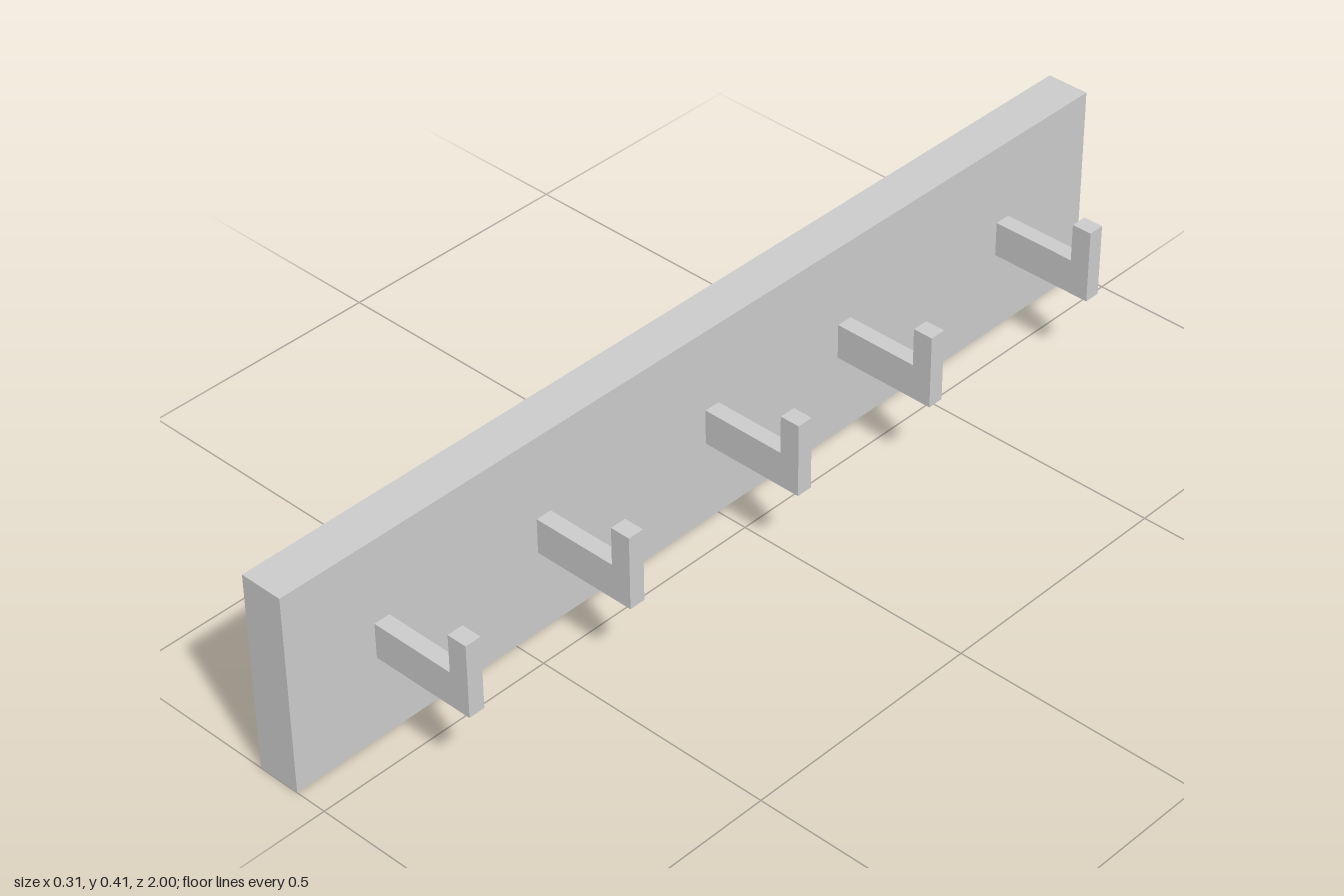
import * as THREE from 'three';

const material = new THREE.MeshStandardMaterial({ color: 0xcccccc, flatShading: true });

export function createModel() {
  const model = new THREE.Group();
  model.name = 'hookRail';

  // Long backing board, running along z
  const board = new THREE.Mesh(new THREE.BoxGeometry(0.088, 0.41, 2), material);
  board.name = 'board';
  board.position.set(-0.109, 0.205, 0);
  model.add(board);

  // L-shaped hook profile: arm from the board, then an upturned tip
  const profile = new THREE.Shape([
    [-0.066, 0.17], [0.152, 0.17], [0.152, 0.32],
    [0.111, 0.32], [0.111, 0.242], [-0.066, 0.242],
  ].map(([x, y]) => new THREE.Vector2(x, y)));
  const thickness = 0.033;
  const hookGeometry = new THREE.ExtrudeGeometry(profile, { depth: thickness, bevelEnabled: false });
  hookGeometry.translate(0, 0, -thickness / 2);

  // Five unevenly spaced hooks
  [0.794, 0.425, 0.014, -0.33, -0.768].forEach((z, i) => {
    const hook = new THREE.Mesh(hookGeometry, material);
    hook.name = `hook${i + 1}`;
    hook.position.z = z;
    model.add(hook);
  });

  return model;
}
